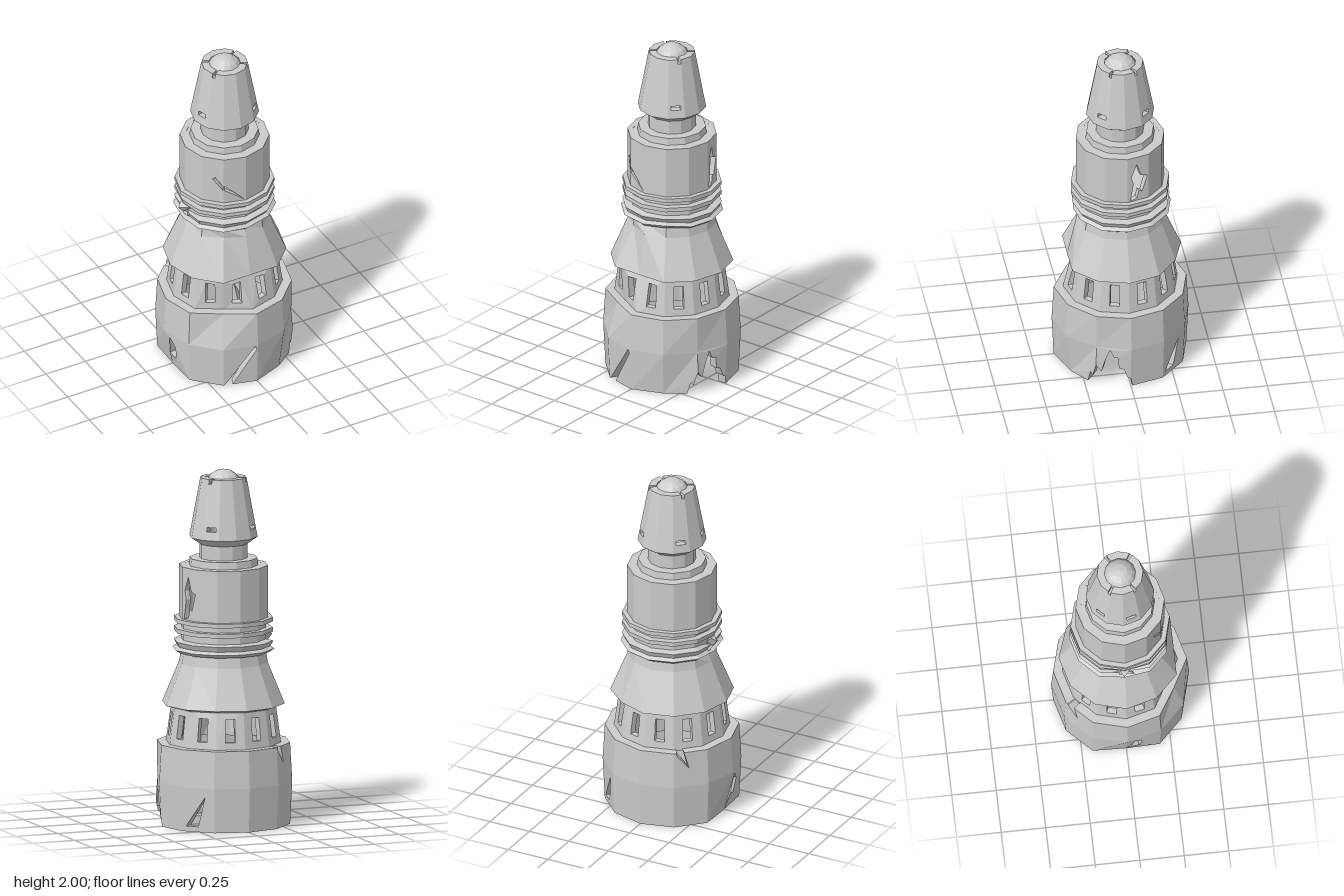
import * as THREE from 'three';
import { mergeGeometries } from 'three/addons/utils/BufferGeometryUtils.js';

const SIDES = 12, STEP = Math.PI * 2 / SIDES;
const material = new THREE.MeshStandardMaterial({ color: 0xcccccc, flatShading: true, side: THREE.DoubleSide });

// Dents: [angle in degrees from the front, height, reach, inward push, vertical push]
const DENTS = [
  [-30, 0.46, 0.16, 0.045, 0], [-90, 0, 0.15, 0.045, 0], [60, 0.25, 0.12, 0.015, 0], [30, 0, 0.12, 0.02, 0],
  [0, 0.68, 0.12, 0.045, 0], [150, 0.68, 0.1, 0.015, 0], [-30, 0.91, 0.07, 0.02, 0],
  [0, 0.995, 0.06, 0.025, -0.01], [30, 0.995, 0.06, 0, 0.015], [-90, 1.03, 0.1, 0.035, -0.02],
];

function dent(geometry) {
  const p = geometry.attributes.position, v = new THREE.Vector3();
  const dents = DENTS.map(([deg, y, reach, push, lift]) => ({ a: deg * Math.PI / 180, y, reach, push, lift }));
  for (let i = 0; i < p.count; i++) {
    v.fromBufferAttribute(p, i);
    const r = Math.hypot(v.x, v.z), angle = Math.atan2(v.x, v.z);
    let nr = r, ny = v.y;
    for (const d of dents) {
      const turn = Math.atan2(Math.sin(angle - d.a), Math.cos(angle - d.a));
      const w = 1 - Math.hypot(turn * r, v.y - d.y) / d.reach;
      if (w > 0 && r > 0.2) { nr -= d.push * w; ny += d.lift * w; }
    }
    p.setXYZ(i, Math.sin(angle) * nr, ny, Math.cos(angle) * nr);
  }
  geometry.computeVertexNormals();
  return geometry;
}

// Solid turned part, profile from bottom to top as [radius, height]
function turned(name, profile) {
  const geometry = new THREE.LatheGeometry(profile.map(([r, y]) => new THREE.Vector2(r, y)), SIDES);
  const mesh = new THREE.Mesh(dent(geometry), material);
  mesh.name = name;
  return mesh;
}

// Thick faceted wall. Points on a facet are [share of its width, height];
// an outline replaces the facet's quad, holes are cut through it.
function wall(name, [r0, y0], [r1, y1], thick, holesFor = () => [], outlines = {}) {
  const facets = [];
  const points = list => list.map(([s, y]) => new THREE.Vector2(s, y));
  for (let i = 0; i < SIDES; i++) {
    const shape = new THREE.Shape(points(outlines[i] || [[0, y0], [1, y0], [1, y1], [0, y1]]));
    for (const hole of holesFor(i)) shape.holes.push(new THREE.Path(points(hole)));
    const geometry = new THREE.ExtrudeGeometry(shape, { depth: 1, bevelEnabled: false });
    const p = geometry.attributes.position, a = i * STEP, b = a + STEP;
    for (let k = 0; k < p.count; k++) {
      const s = p.getX(k), y = p.getY(k);
      const r = r0 + (r1 - r0) * (y - y0) / (y1 - y0) - thick * (1 - p.getZ(k));
      p.setXYZ(k, r * (Math.sin(a) * (1 - s) + Math.sin(b) * s), y, r * (Math.cos(a) * (1 - s) + Math.cos(b) * s));
    }
    facets.push(geometry);
  }
  const mesh = new THREE.Mesh(dent(mergeGeometries(facets)), material);
  mesh.name = name;
  return mesh;
}

const slot = (s0, s1, y0, y1) => [[s0, y0], [s0, y1], [s1, y1], [s1, y0]];

export function createModel() {
  const group = new THREE.Group();

  // Hollow base, lower half with torn edge and gashes
  const lowerHoles = {
    4: [[[0.12, 0.03], [0.72, 0.2], [0.5, 0.03]]],
    9: [[[0.12, 0.1], [0.22, 0.22], [0.45, 0.17], [0.38, 0.08]]],
  };
  group.add(wall('baseLower', [0.375, 0], [0.387, 0.25], 0.05, i => lowerHoles[i] || [], {
    1: [[0, 0], [0.7, 0], [0.8, 0.07], [0.88, 0.05], [1, 0.13], [1, 0.25], [0, 0.25]],
    2: [[0, 0.13], [0.15, 0.09], [0.25, 0.16], [0.4, 0.24], [0.52, 0.19], [0.62, 0.19], [0.66, 0.12],
      [0.8, 0.11], [0.9, 0.06], [1, 0.05], [1, 0.25], [0, 0.25]],
    3: [[0, 0.05], [0.04, 0], [1, 0], [1, 0.25], [0, 0.25]],
    11: [[0, 0], [0.04, 0], [0.92, 0.245], [0.98, 0.225], [0.28, 0], [1, 0], [1, 0.25], [0, 0.25]],
  }));
  group.add(wall('baseUpper', [0.387, 0.25], [0.375, 0.46], 0.06, () => [], {
    7: [[0, 0.25], [1, 0.25], [1, 0.46], [0.3, 0.46], [0.45, 0.36], [0.1, 0.44], [0.08, 0.46], [0, 0.46]],
  }));

  // Band of open windows, one per facet
  group.add(wall('windowBand', [0.325, 0.45], [0.295, 0.67], 0.035, () => [slot(0.33, 0.67, 0.5, 0.63)]));

  // Flared skirt
  group.add(turned('skirt', [[0, 0.665], [0.3, 0.665], [0.345, 0.68], [0.25, 0.91], [0.24, 0.97], [0, 0.97]]));

  // Collar with its stack of rings
  group.add(turned('collar', [[0, 0.96], [0.24, 0.96], [0.24, 1.17], [0, 1.17]]));
  group.add(turned('bentRing', [[0.23, 0.965], [0.26, 0.97], [0.287, 0.99], [0.265, 1.005], [0.28, 1.035], [0.23, 1.045]]));
  for (const [y, h] of [[1.085, 0.024], [1.142, 0.024]]) {
    group.add(turned('ring', [[0.23, y], [0.278, y], [0.278, y + h], [0.23, y + h]]));
  }
  // Torn splinters where the rings are broken
  for (const [y, tilt] of [[1.01, 0.5], [1.06, -0.4]]) {
    const shard = new THREE.Mesh(new THREE.ConeGeometry(0.03, 0.09, 4), material);
    shard.name = 'ringSplinter';
    shard.position.set(-0.245, y, 0.02);
    shard.rotation.set(1.2, 0, tilt);
    group.add(shard);
  }

  // Upper barrel with two gashes
  const barrelHoles = {
    3: [[[0.15, 1.17], [0.3, 1.28], [0.2, 1.33], [0.45, 1.41], [0.65, 1.33], [0.95, 1.32], [0.7, 1.22], [0.55, 1.23], [0.45, 1.18]]],
    10: [[[0.5, 1.32], [0.62, 1.33], [0.97, 1.28], [0.97, 1.25]]],
    11: [[[0.03, 1.25], [0.03, 1.28], [0.95, 1.17]]],
  };
  group.add(wall('barrel', [0.25, 1.16], [0.25, 1.46], 0.03, i => barrelHoles[i] || []));
  group.add(turned('barrelTop', [[0, 1.44], [0.235, 1.44], [0.235, 1.459], [0.195, 1.46], [0.19, 1.5], [0.135, 1.5], [0.135, 1.6], [0, 1.6]]));

  // Tapered head with slots and a nicked rim
  group.add(turned('headBase', [[0, 1.58], [0.135, 1.58], [0.192, 1.62], [0.16, 1.622], [0, 1.622]]));
  const slotted = [1, 4, 7, 9];
  const low = 1.62, top = 1.955;
  const nickStart = [[0, low], [1, low], [1, top], [0.25, top], [0.25, 1.93], [0, 1.93]];
  const nickEnd = [[0, low], [1, low], [1, 1.93], [0.75, 1.93], [0.75, top], [0, top]];
  group.add(wall('head', [0.192, low], [0.13, top], 0.042,
    i => slotted.includes(i) ? [slot(0.2, 0.8, 1.668, 1.692)] : [],
    { 4: nickStart, 7: nickEnd, 1: nickEnd, 10: nickStart }));

  // Domed tip
  group.add(turned('tip', [[0, 1.92], [0.092, 1.92], [0.09, 1.945], [0.07, 1.972], [0.04, 1.992], [0, 2]]));
  return group;
}
